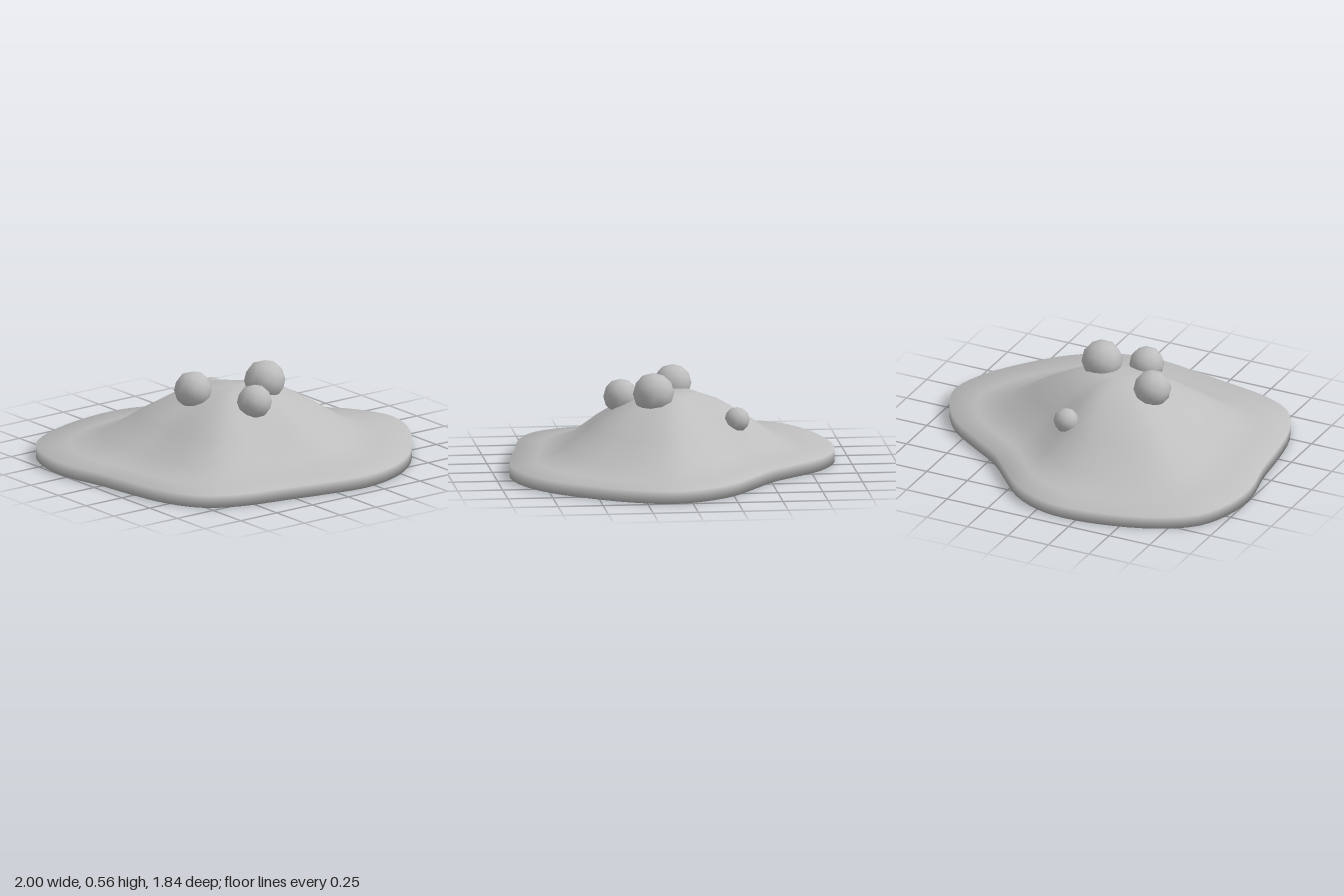
import * as THREE from 'three';

const GREY = 0xbebebe;
const CENTRE_X = -0.04;
const CENTRE_Z = 0.01;
const SEGMENTS = 78;

// Wavy lobed outline of the mound, as [x, z]
const OUTLINE = [
  [-0.18, -0.92], [0, -0.89], [0.17, -0.8], [0.3, -0.67], [0.45, -0.51], [0.64, -0.38], [0.83, -0.24],
  [0.95, -0.07], [1, 0.11], [0.94, 0.32], [0.8, 0.54], [0.61, 0.75], [0.41, 0.87], [0.18, 0.92],
  [-0.05, 0.89], [-0.3, 0.84], [-0.58, 0.78], [-0.76, 0.68], [-0.87, 0.49], [-0.92, 0.25], [-0.95, 0],
  [-1, -0.25], [-0.98, -0.47], [-0.89, -0.67], [-0.71, -0.8], [-0.46, -0.885],
];

// Cross-sections from the middle of the underside, round the rim, to the apex, as [scale, height]
const RINGS = [
  [0, 0], [1, 0], [1, 0.07], [0.833, 0.08], [0.667, 0.13], [0.5, 0.245], [0.333, 0.345], [0.167, 0.41], [0, 0.42],
];

// Bubbles, as [x, y, z, radius]
const BUBBLES = [
  [-0.285, 0.425, -0.035, 0.105],
  [0.1, 0.445, 0.115, 0.115],
  [-0.095, 0.395, 0.275, 0.097],
  [0.09, 0.285, -0.35, 0.07],
];

// Closed loft of scaled copies of the outline
function moundGeometry() {
  const curve = new THREE.CatmullRomCurve3(OUTLINE.map(([x, z]) => new THREE.Vector3(x, 0, z)), true);
  const positions = [];
  const index = [];
  RINGS.forEach(([scale, y], r) => {
    for (let j = 0; j < SEGMENTS; j++) {
      const p = curve.getPoint(j / SEGMENTS);
      positions.push(CENTRE_X + (p.x - CENTRE_X) * scale, y, CENTRE_Z + (p.z - CENTRE_Z) * scale);
      if (r === 0) continue;
      const next = (j + 1) % SEGMENTS;
      const a = (r - 1) * SEGMENTS + j;
      const b = (r - 1) * SEGMENTS + next;
      const c = r * SEGMENTS + j;
      const d = r * SEGMENTS + next;
      if (RINGS[r - 1][0] > 0) index.push(a, c, b);
      if (scale > 0) index.push(b, c, d);
    }
  });
  const geometry = new THREE.BufferGeometry();
  geometry.setAttribute('position', new THREE.Float32BufferAttribute(positions, 3));
  geometry.setIndex(index);
  geometry.computeVertexNormals();
  // The apex copies share one upright normal, the underside centre one downward normal
  const normals = geometry.attributes.normal;
  for (let j = 0; j < SEGMENTS; j++) {
    normals.setXYZ(j, 0, -1, 0);
    normals.setXYZ(normals.count - 1 - j, 0, 1, 0);
  }
  return geometry;
}

export function createModel() {
  const model = new THREE.Group();
  model.name = 'bubblingMound';

  const grey = new THREE.MeshStandardMaterial({ color: GREY });
  grey.name = 'grey';

  const add = (name, geometry) => {
    const mesh = new THREE.Mesh(geometry, grey);
    mesh.name = name;
    model.add(mesh);
    return mesh;
  };

  // Mound with its low rim and flat underside
  add('mound', moundGeometry());

  // Bubbles on the mound
  BUBBLES.forEach(([x, y, z, radius], i) => {
    add(`bubble${i + 1}`, new THREE.IcosahedronGeometry(radius, 1)).position.set(x, y, z);
  });

  return model;
}
